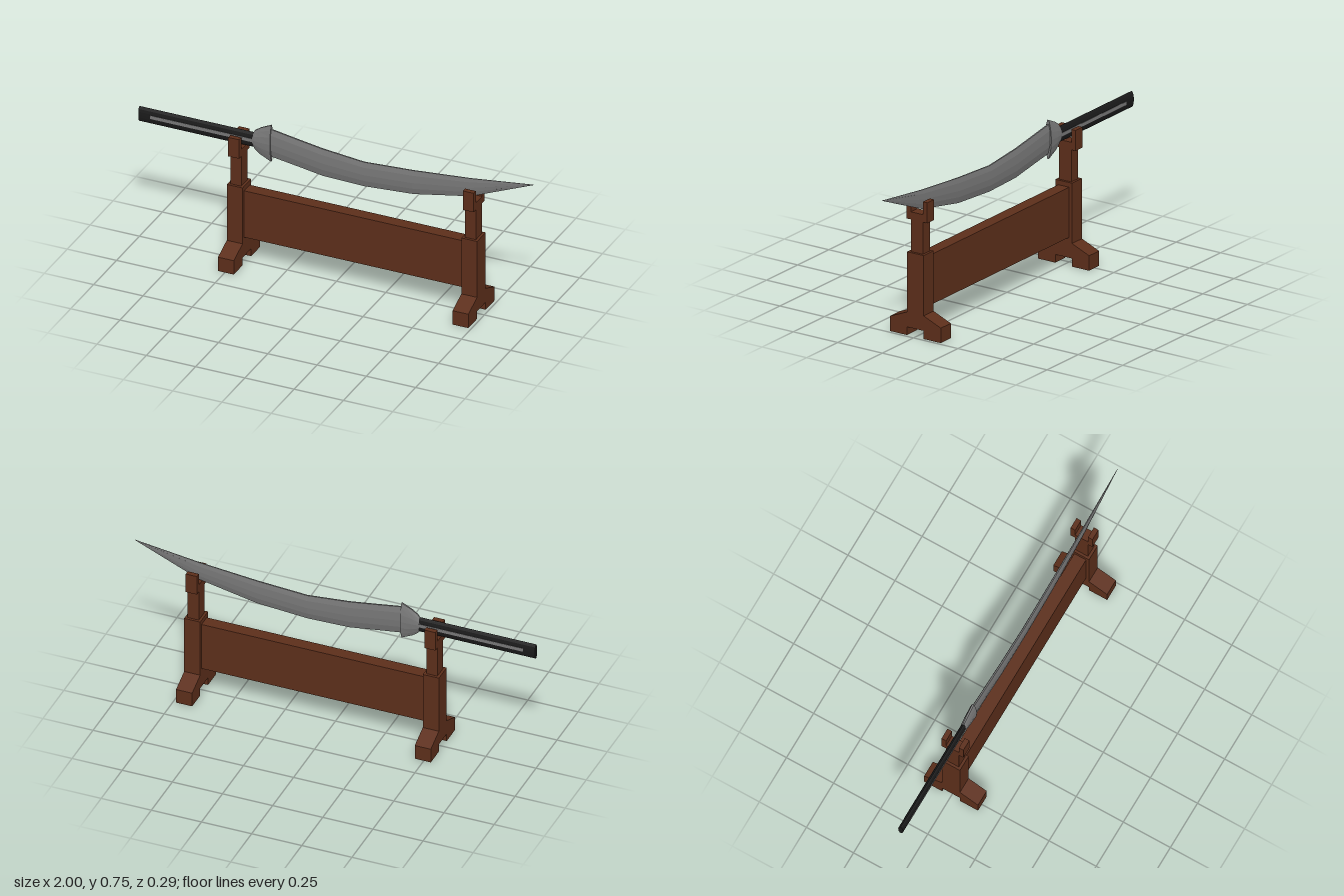
import * as THREE from 'three';

const mat = (color) => new THREE.MeshStandardMaterial({ color, flatShading: true });

// Loft a unit ring of [z, y] points through sections [x, centreY, halfHeight, halfDepth]
function loft(ring, sections) {
  const pos = [], n = ring.length;
  const pt = (s, j) => {
    const [x, cy, hy, hz] = sections[s], [z, y] = ring[j % n];
    return [x, cy + y * hy, z * hz];
  };
  const tri = (...pts) => pts.forEach((p) => pos.push(...p));
  for (let s = 0; s < sections.length - 1; s++) {
    for (let j = 0; j < n; j++) {
      tri(pt(s, j), pt(s + 1, j), pt(s, j + 1));
      tri(pt(s + 1, j), pt(s + 1, j + 1), pt(s, j + 1));
    }
  }
  const last = sections.length - 1;
  for (let j = 1; j < n - 1; j++) {
    tri(pt(0, 0), pt(0, j), pt(0, j + 1));
    tri(pt(last, 0), pt(last, j + 1), pt(last, j));
  }
  const g = new THREE.BufferGeometry();
  g.setAttribute('position', new THREE.Float32BufferAttribute(pos, 3));
  g.computeVertexNormals();
  return g;
}

// Extrude a mirrored half outline [z, y] along x, centred on x = 0
function slab(half, width) {
  const outline = [...half, ...half.map(([z, y]) => [-z, y]).reverse()];
  const shape = new THREE.Shape(outline.map(([z, y]) => new THREE.Vector2(z, y)));
  const g = new THREE.ExtrudeGeometry(shape, { depth: width, bevelEnabled: false });
  return g.translate(0, 0, -width / 2).rotateY(Math.PI / 2);
}

export function createModel() {
  const model = new THREE.Group();
  const wood = mat(0x5c2e1a), steel = mat(0x777777), black = mat(0x1a1a1a);
  const add = (parent, name, geometry, material) => {
    const mesh = new THREE.Mesh(geometry, material);
    mesh.name = name;
    parent.add(mesh);
    return mesh;
  };

  // Stand: two footed uprights with forked tops
  const stand = new THREE.Group();
  stand.name = 'stand';
  model.add(stand);
  const lower = slab([[0.047, 0.04], [0.047, 0], [0.143, 0], [0.143, 0.073], [0.047, 0.113], [0.047, 0.408]], 0.08);
  const fork = slab([[0.034, 0.4], [0.034, 0.565], [0.058, 0.565], [0.058, 0.665], [0.034, 0.665], [0.034, 0.602]], 0.055);
  for (const [side, x] of [['right', -0.495], ['left', 0.695]]) {
    add(stand, side + 'Upright', lower, wood).position.x = x;
    add(stand, side + 'Fork', fork, wood).position.x = x;
  }
  // Board joining the uprights
  add(stand, 'crossBoard', new THREE.BoxGeometry(1.12, 0.245, 0.062), wood).position.set(0.1, 0.2625, 0);

  // Sword
  const sword = new THREE.Group();
  sword.name = 'sword';
  model.add(sword);

  // Oval grip with a pale inlay on both faces
  const oval = Array.from({ length: 16 }, (_, i) => {
    const a = (i / 16) * Math.PI * 2;
    return [Math.cos(a), Math.sin(a)];
  });
  add(sword, 'grip', loft(oval, [[-1, 0.649, 0.039, 0.013], [-0.4, 0.649, 0.039, 0.013]]), black);
  add(sword, 'gripInlay', new THREE.BoxGeometry(0.53, 0.017, 0.028), steel).position.set(-0.675, 0.649, 0);

  // Flared guard
  const lens = [[1, 0], [0.88, 0.4], [0.55, 0.75], [0.2, 1], [-0.2, 1], [-0.55, 0.75], [-0.88, 0.4],
    [-1, 0], [-0.88, -0.4], [-0.55, -0.75], [-0.2, -1], [0.2, -1], [0.55, -0.75], [0.88, -0.4]];
  add(sword, 'guard', loft(lens, [
    [-0.425, 0.65, 0.032, 0.013], [-0.412, 0.65, 0.05, 0.016],
    [-0.385, 0.65, 0.07, 0.018], [-0.33, 0.65, 0.096, 0.019],
  ]), steel);

  // Curved blade: blunt spine above, sharp edge below
  const bladeRing = [[1, 0], [0.85, 0.6], [0.3, 1], [-0.3, 1], [-0.85, 0.6], [-1, 0], [-0.75, -0.5], [0, -1], [0.75, -0.5]];
  const blade = [
    [-0.35, 0.582, 0.727, 0.012], [-0.2, 0.56, 0.703, 0.012], [-0.07, 0.54, 0.683, 0.012],
    [0.14, 0.535, 0.663, 0.011], [0.39, 0.553, 0.678, 0.01], [0.68, 0.61, 0.705, 0.007], [1, 0.745, 0.747, 0.001],
  ].map(([x, edge, spine, hz]) => [x, (edge + spine) / 2, (spine - edge) / 2, hz]);
  add(sword, 'blade', loft(bladeRing, blade), steel);

  return model;
}
